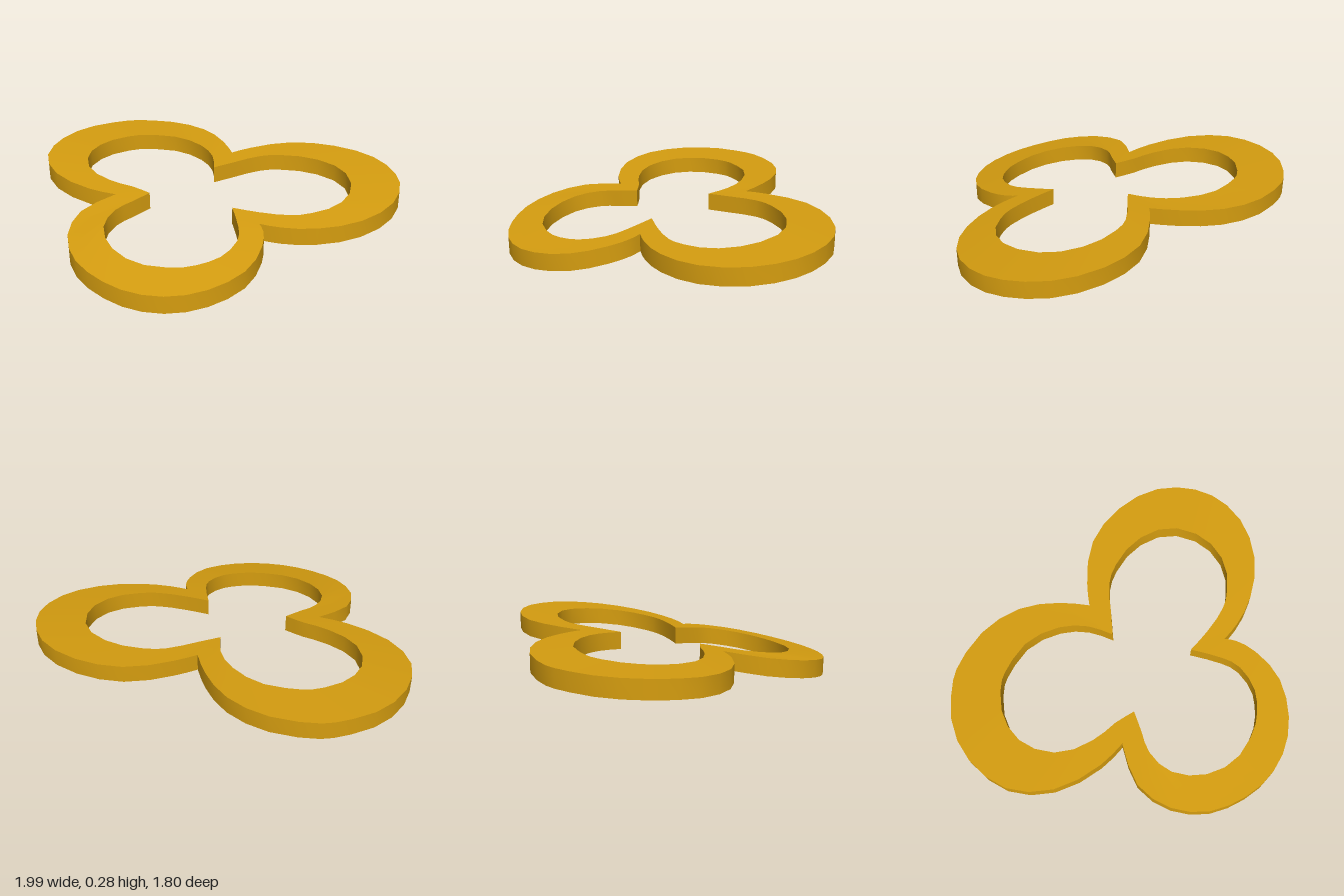
import * as THREE from 'three';
import { toCreasedNormals } from 'three/addons/utils/BufferGeometryUtils.js';

const SEGMENTS = 21; // per lobe
const THICKNESS = 0.095;

// Plan outlines (x, z) of each lobe, from one sharp notch to the next
const outerLobes = [
  [[0.09, -0.365], [0.2, -0.42], [0.44, -0.485], [0.68, -0.435], [0.89, -0.285], [0.985, -0.09],
    [0.985, 0.105], [0.88, 0.295], [0.68, 0.425], [0.45, 0.462], [0.28, 0.437], [0.18, 0.4]],
  [[0.18, 0.4], [0.193, 0.46], [0.18, 0.57], [0.095, 0.74], [-0.07, 0.855], [-0.265, 0.898],
    [-0.46, 0.86], [-0.63, 0.75], [-0.755, 0.595], [-0.8, 0.4], [-0.745, 0.21], [-0.575, 0.07]],
  [[-0.575, 0.07], [-0.71, 0.01], [-0.91, -0.16], [-1, -0.38], [-0.955, -0.6], [-0.81, -0.785],
    [-0.6, -0.885], [-0.475, -0.903], [-0.23, -0.845], [-0.05, -0.705], [0.05, -0.515], [0.09, -0.365]],
];
const innerLobes = [
  [[-0.025, -0.185], [0.085, -0.235], [0.245, -0.305], [0.35, -0.315], [0.55, -0.26], [0.7, -0.11],
    [0.715, 0.1], [0.61, 0.26], [0.44, 0.33], [0.34, 0.335], [0.18, 0.295], [0.05, 0.245]],
  [[0.05, 0.245], [0.07, 0.42], [0.06, 0.52], [-0.02, 0.635], [-0.13, 0.69], [-0.25, 0.707],
    [-0.45, 0.655], [-0.585, 0.51], [-0.62, 0.34], [-0.56, 0.21], [-0.48, 0.145], [-0.39, 0.07]],
  [[-0.39, 0.07], [-0.48, 0], [-0.6, -0.07], [-0.735, -0.22], [-0.755, -0.41], [-0.665, -0.56],
    [-0.5, -0.645], [-0.41, -0.65], [-0.22, -0.6], [-0.08, -0.46], [-0.027, -0.32], [-0.025, -0.185]],
];

// Each lobe is a smooth curve; the notches between them stay sharp
function sampleOutline(lobes) {
  return lobes.flatMap((lobe) => {
    const curve = new THREE.CatmullRomCurve3(lobe.map(([x, z]) => new THREE.Vector3(x, 0, z)));
    return curve.getPoints(SEGMENTS).slice(0, -1);
  });
}

// Gently drooping sheet that the ring follows
const topHeight = (x, z) => 0.287 - 0.0595 * (z - 0.15 * x + 0.83) ** 2;

// Closed band with a four-cornered cross-section
function bentRing() {
  const rail = (points, drop) =>
    points.map((p) => new THREE.Vector3(p.x, topHeight(p.x, p.z) - drop, p.z));
  const outer = sampleOutline(outerLobes);
  const inner = sampleOutline(innerLobes);
  const rails = [rail(outer, 0), rail(inner, 0), rail(inner, THICKNESS), rail(outer, THICKNESS)];

  const count = outer.length;
  const index = [];
  for (let k = 0; k < 4; k++) {
    for (let i = 0; i < count; i++) {
      const j = (i + 1) % count;
      const next = ((k + 1) % 4) * count;
      const a = k * count + i, b = next + i, c = next + j, d = k * count + j;
      index.push(a, b, c, a, c, d);
    }
  }
  const geometry = new THREE.BufferGeometry().setFromPoints(rails.flat());
  geometry.setIndex(index);
  return toCreasedNormals(geometry, 0.5);
}

export function createModel() {
  const gold = new THREE.MeshStandardMaterial({ color: 0xd59d10 });
  gold.name = 'gold';

  const ring = new THREE.Mesh(bentRing(), gold);
  ring.name = 'trefoilRing';

  const group = new THREE.Group();
  group.name = 'trefoil';
  group.add(ring);

  // Rest the lowest edge on the ground
  ring.position.y = -new THREE.Box3().setFromObject(ring).min.y;
  return group;
}
